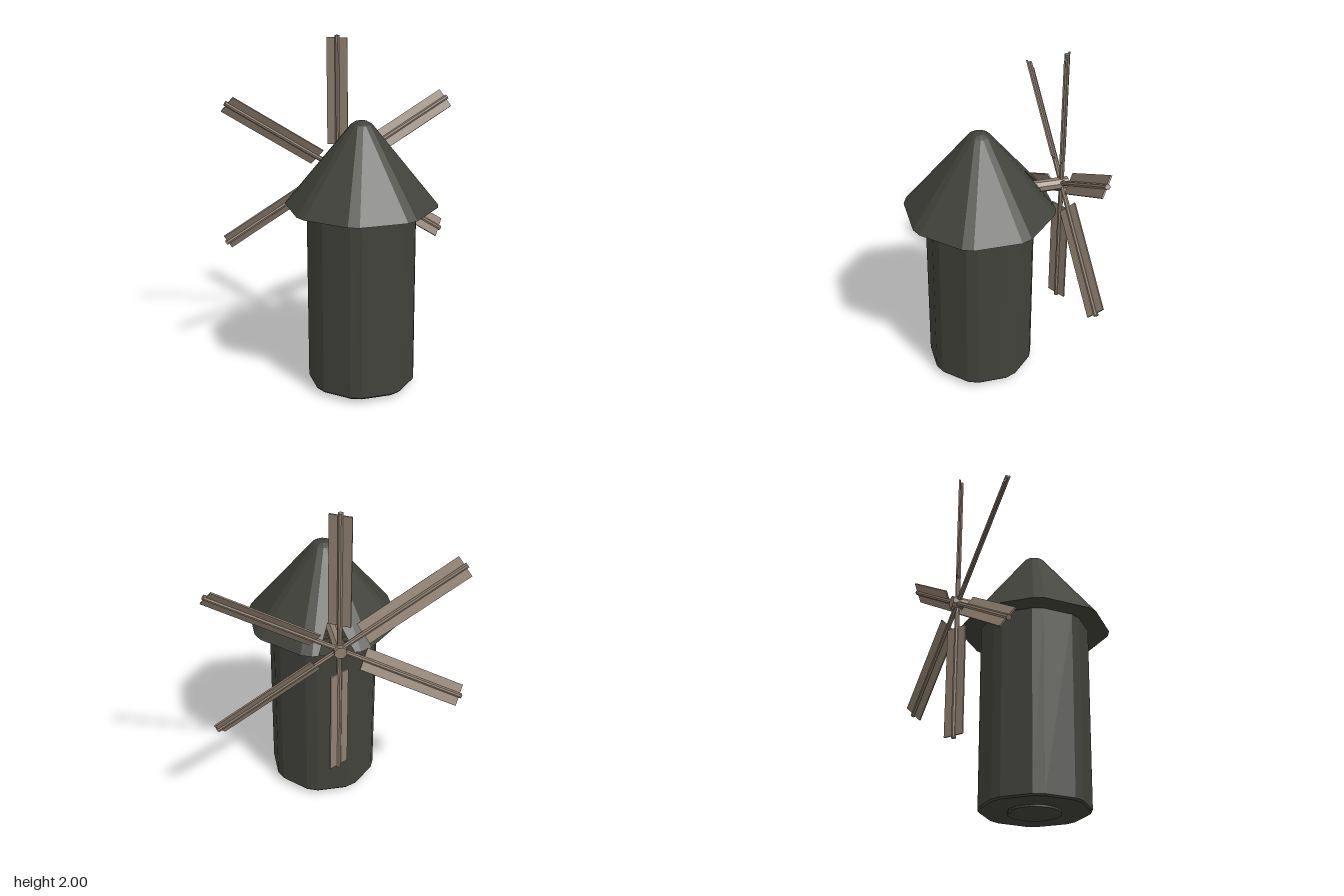
import * as THREE from 'three';

const CENTRE_Z = 0.055;
const HUB = new THREE.Vector3(0, 1.187, -0.432);

// Octagon with clipped corners, flats facing the axes
function ring(half, y) {
  const side = 2 * half * Math.tan(Math.PI / 8);
  const t = side > 0 ? Math.min(0.035 / side, 0.35) : 0;
  const corner = (k) => {
    const a = Math.PI / 8 + (k * Math.PI) / 4;
    const r = half / Math.cos(Math.PI / 8);
    return new THREE.Vector3(r * Math.cos(a), y, CENTRE_Z + r * Math.sin(a));
  };
  const pts = [];
  for (let k = 0; k < 8; k++) {
    pts.push(corner(k).lerp(corner(k - 1), t), corner(k).lerp(corner(k + 1), t));
  }
  return pts;
}

function facets(points) {
  const g = new THREE.BufferGeometry().setFromPoints(points);
  g.computeVertexNormals();
  return g;
}

// Joins rings from bottom to top; skip(layer, segment) leaves a face open
function loft(layers, skip = () => false) {
  const out = [];
  const rings = layers.map(([half, y]) => ring(half, y));
  for (let l = 0; l < rings.length - 1; l++) {
    const b = rings[l], t = rings[l + 1];
    for (let i = 0; i < 16; i++) {
      if (skip(l, i)) continue;
      const j = (i + 1) % 16;
      if (layers[l][0] > 0) out.push(b[j], b[i], t[i]);
      if (layers[l + 1][0] > 0) out.push(b[j], t[i], t[j]);
      else if (layers[l][0] === 0) out.push(b[j], t[i], t[j]);
    }
  }
  return out;
}

function flat(geometry) {
  const g = geometry.toNonIndexed();
  g.computeVertexNormals();
  return g;
}

export function createModel() {
  const model = new THREE.Group();
  model.name = 'windmill';

  const stone = new THREE.MeshStandardMaterial({ color: 0x41423b, side: THREE.DoubleSide });
  stone.name = 'dark stone';
  const wood = new THREE.MeshStandardMaterial({ color: 0x8f7f6f });
  wood.name = 'weathered wood';

  const add = (parent, name, geometry, material) => {
    const mesh = new THREE.Mesh(geometry, material);
    mesh.name = name;
    parent.add(mesh);
    return mesh;
  };

  // Tower
  add(model, 'tower', facets(loft([
    [0, 0.025], [0.292, 0.025], [0.3, 0.035], [0.3, 1.11], [0, 1.11],
  ])), stone);

  // Base disc and peg
  const disc = add(model, 'baseDisc', flat(new THREE.CylinderGeometry(0.148, 0.148, 0.015, 32)), stone);
  disc.position.set(0, 0.0205, CENTRE_Z - 0.003);
  const peg = add(model, 'basePeg', flat(new THREE.CylinderGeometry(0.008, 0.008, 0.03, 8)), stone);
  peg.position.set(0, 0.015, -0.095);

  // Roof, with the back facet left open for the shaft notch
  const rim = [0.415, 1.107], neck = [0.06, 1.573];
  const roof = loft(
    [[0, 1.107], rim, neck, [0.032, 1.589], [0, 1.592]],
    (l, i) => l === 1 && i === 11,
  );
  const lower = ring(...rim), upper = ring(...neck);
  const [a, b, c, d] = [lower[11], lower[12], upper[12], upper[11]];
  const left = new THREE.Vector3(-0.1, rim[1], a.z);
  const right = new THREE.Vector3(0.1, rim[1], a.z);
  const f = 0.43;
  const peak = new THREE.Vector3(0, rim[1] + f * (neck[1] - rim[1]), a.z + f * (d.z - a.z));
  roof.push(left, a, d, left, d, peak, peak, d, c, b, right, peak, b, peak, c);
  add(model, 'roof', facets(roof), stone);

  // Walls inside the notch
  const innerL = new THREE.Vector3(-0.1, rim[1], peak.z);
  const innerR = new THREE.Vector3(0.1, rim[1], peak.z);
  add(model, 'shaftNotch', facets([
    innerR, innerL, peak,
    innerL, left, peak,
    right, innerR, peak,
  ]), stone);

  // Sail wheel
  const wheel = new THREE.Group();
  wheel.name = 'sailWheel';
  wheel.position.copy(HUB);
  model.add(wheel);

  const shaftGeo = new THREE.CylinderGeometry(0.036, 0.036, 0.27, 8);
  shaftGeo.rotateY(Math.PI / 8).rotateX(Math.PI / 2).translate(0, 0, 0.097);
  add(wheel, 'shaft', flat(shaftGeo), wood);

  const sparGeo = flat(new THREE.CylinderGeometry(0.015, 0.015, 0.813, 8).translate(0, 0.4065, 0));
  const panelGeo = new THREE.BoxGeometry(0.126, 0.645, 0.009)
    .translate(0, 0.4775, 0)
    .rotateY(-Math.PI / 6);

  for (const degrees of [90, 30, -33.5, -90, -150, 146.5]) {
    const sail = new THREE.Group();
    sail.name = 'sail';
    sail.rotation.z = THREE.MathUtils.degToRad(degrees - 90);
    add(sail, 'spar', sparGeo, wood);
    add(sail, 'sailPanel', panelGeo, wood);
    wheel.add(sail);
  }

  return model;
}
